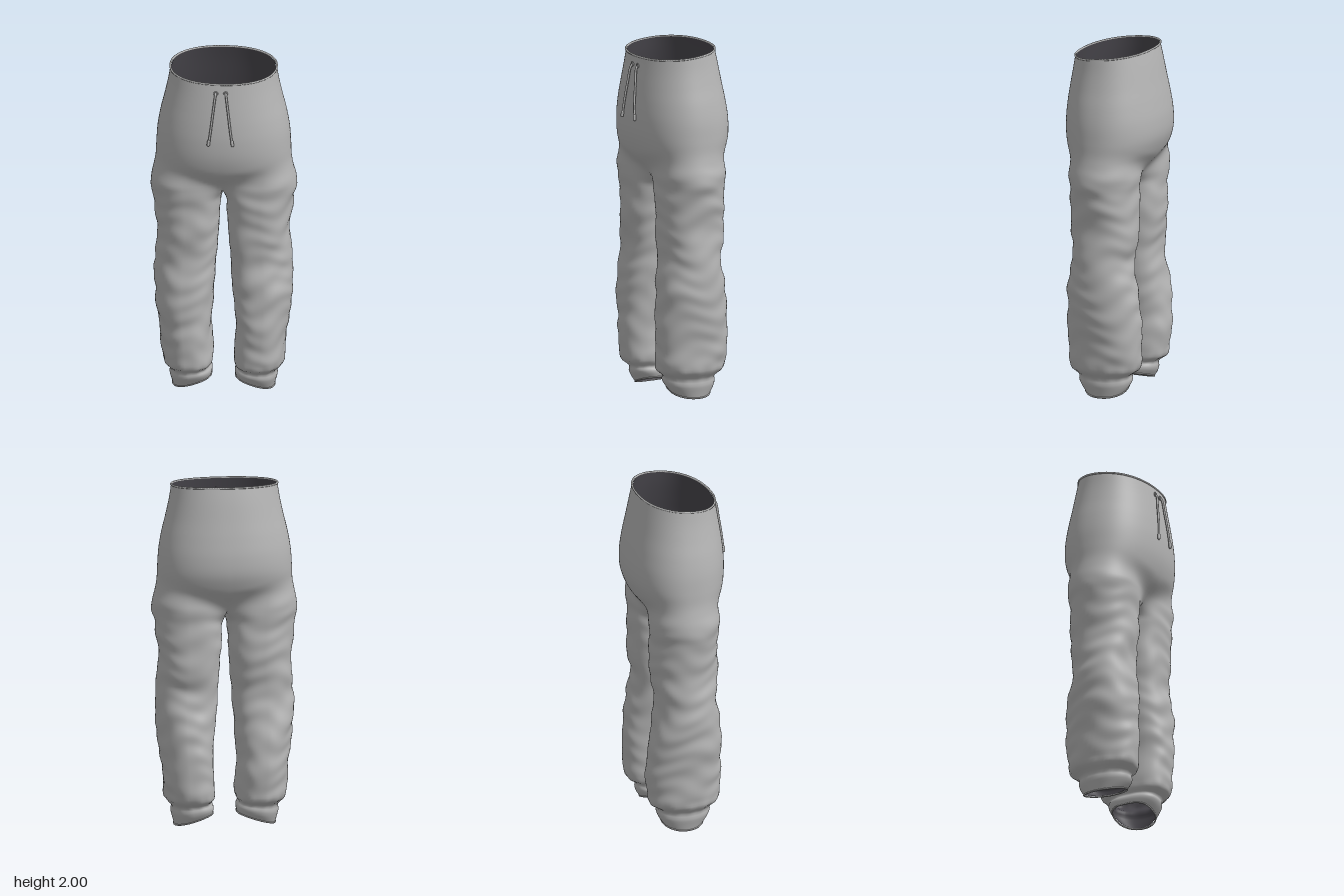
import * as THREE from 'three';
import { mergeVertices } from 'three/addons/utils/BufferGeometryUtils.js';

// Profile of one half: height, outer x, inner x, front z, back z
const PROFILE = [
  [1.98, 0.3, 0.01, 0.222, -0.212], [1.9, 0.312, 0.01, 0.235, -0.23], [1.8, 0.333, 0.01, 0.25, -0.25],
  [1.7, 0.357, 0.01, 0.262, -0.27], [1.6, 0.374, 0.01, 0.269, -0.284], [1.5, 0.381, 0.01, 0.265, -0.281],
  [1.42, 0.385, 0.01, 0.247, -0.255], [1.36, 0.396, 0.01, 0.222, -0.225], [1.3, 0.411, 0.01, 0.2, -0.205],
  [1.25, 0.411, 0.012, 0.193, -0.198], [1.2, 0.4, 0.015, 0.188, -0.19], [1.1, 0.391, 0.019, 0.183, -0.195],
  [1.0, 0.376, 0.026, 0.187, -0.197], [0.9, 0.381, 0.032, 0.178, -0.187], [0.8, 0.39, 0.039, 0.174, -0.17],
  [0.7, 0.391, 0.046, 0.192, -0.182], [0.6, 0.391, 0.054, 0.2, -0.2], [0.5, 0.38, 0.062, 0.205, -0.213],
  [0.4, 0.364, 0.07, 0.205, -0.222], [0.3, 0.355, 0.065, 0.203, -0.225], [0.2, 0.347, 0.06, 0.198, -0.213],
  [0.155, 0.338, 0.063, 0.185, -0.197], [0.135, 0.318, 0.075, 0.162, -0.17], [0.115, 0.303, 0.078, 0.148, -0.155],
  [0.08, 0.306, 0.068, 0.15, -0.158], [0.04, 0.296, 0.064, 0.136, -0.15], [0, 0.286, 0.07, 0.108, -0.126]];
const profile = new THREE.CubicInterpolant(PROFILE.map((r) => -r[0]), PROFILE.flatMap((r) => r.slice(1)), 4);

const CROTCH = 1.27, UPPER = 46, LOWER = 84, OUT = 48, IN = 14, END = Math.PI * 5 / 6;
const { lerp, smoothstep } = THREE.MathUtils;

// Point on a slightly squared ellipse
const bend = (v, n) => Math.sign(v) * Math.pow(Math.abs(v), 2 / n);
const oval = (a, cx, rx, cz, rz, n) => [cx + rx * bend(Math.cos(a), n), cz + rz * bend(Math.sin(a), n)];

// Soft cloth folds running diagonally round a leg
function fold(a, y, side) {
  const p = side > 0 ? 0 : 1.9;
  const amount = (1 - smoothstep(y, 1.15, 1.42)) * smoothstep(y, 0.13, 0.22);
  const gather = Math.exp(-(((y - 0.15) / 0.04) ** 2)) * 0.003 * Math.sin(13 * a + p);
  const wave = 0.003 * Math.sin(31 * y + 2 * a * side + 1.6 * Math.sin(2 * a + 5 * y + p))
    + 0.003 * Math.sin(17 * y - 3 * a + p + Math.sin(a + 9 * y))
    + 0.0022 * Math.sin(53 * y + a + 2 * Math.sin(3 * a - 7 * y + p));
  return amount * wave + gather;
}

// One cross-section: the outer arc from back to front, then the inner leg arc
function section(y, below, side) {
  const [xo, xi, zf, zb] = profile.evaluate(-y);
  const cz = (zf + zb) / 2, rz = (zf - zb) / 2;
  // The legs stay slimmer than the seat and belly that hang over them
  const lf = y > 1 ? Math.min(zf, 0.197) : zf, lb = y > 1 ? Math.max(zb, -0.203) : zb;
  const free = below ? 1 - smoothstep(y, 1.19, CROTCH) : 0;
  const leg = (a, folds) => {
    const facing = Math.cos(a) < 0;
    const p = oval(a, (xo + xi) / 2, (xo - xi) / 2, (lf + lb) / 2, (lf - lb) / 2, facing ? 2.6 : 2.05);
    const w = fold(a, y, side) * folds;
    return [p[0] + w * Math.cos(a) * (facing ? 0.5 : 1), p[1] + w * Math.sin(a)];
  };
  const ring = [];
  for (let j = 0; j <= OUT; j++) {
    const k = j / OUT * 2 - 1;
    // Folds fade out towards the centre seam so that both halves join
    const folds = lerp(Math.min(1, j / 8, (OUT - j) / 8), 1, free);
    const hip = oval(k * Math.PI / 2, 0, xo, cz, rz, 2.2), l = leg(k * END, folds);
    // The hip turns into the leg higher up at the sides than in the middle
    const split = 1 - smoothstep(y, lerp(1.29, 1.19, k * k), lerp(1.49, 1.39, k * k));
    ring.push([lerp(hip[0], l[0], split), lerp(hip[1], l[1], split)]);
  }
  // Both halves meet on the centre line above the crotch
  const e0 = ring[0][0], e1 = ring[OUT][0];
  for (let j = 0; j <= 8; j++) {
    const pull = (1 - free) * (1 - j / 8);
    ring[j][0] -= e0 * pull;
    ring[OUT - j][0] -= e1 * pull;
  }
  const lA = leg(END, 1), lB = leg(-END, 1);
  if (below) for (let j = 1; j <= IN; j++) {
    const k = j / IN, l = leg(END + k * (Math.PI * 2 - 2 * END), 1);
    ring.push([0, 1].map((c) => lerp(ring[OUT][c], ring[0][c], k) + free * (l[c] - lerp(lA[c], lB[c], k))));
  }
  return ring.map(([x, z], j) => {
    const sag = j > OUT ? 0.03 * Math.sin((j - OUT) / IN * Math.PI) * smoothstep(y, 0.9, CROTCH) : 0;
    const tilt = -0.1 * z * smoothstep(y, 1.6, 1.98);
    const inward = Math.max(0, xo - x) / (xo - xi);
    const hem = (0.064 * inward ** 1.5 + 0.012 * ((z - cz) / rz) ** 2) * (1 - smoothstep(y, 0, 0.17));
    return new THREE.Vector3(x * side, y + tilt + hem - sag, z);
  });
}

function buildCloth() {
  const pos = [], index = [], edges = { waist: [], hems: [] };
  for (const side of [1, -1]) {
    const strip = (rings) => {
      const start = pos.length / 3, n = rings[0].length;
      rings.forEach((r) => r.forEach((p) => pos.push(p.x, p.y, p.z)));
      for (let r = 0; r < rings.length - 1; r++) for (let j = 0; j < n - 1; j++) {
        const a = start + r * n + j, b = a + 1, c = a + n, d = c + 1;
        if (side > 0) index.push(a, b, c, b, d, c);
        else index.push(a, c, b, b, c, d);
      }
    };
    const hip = [], leg = [];
    for (let i = 0; i <= UPPER; i++) hip.push(section(lerp(1.975, CROTCH, i / UPPER), false, side));
    for (let i = 0; i <= LOWER; i++) leg.push(section(lerp(CROTCH, 0.006, i / LOWER), true, side));
    strip(hip);
    strip(leg);
    edges.waist.push(...(side > 0 ? hip[0].slice(0, -1) : hip[0].slice(1).reverse()));
    edges.hems.push(leg[LOWER].slice(0, -1));
  }
  const geo = new THREE.BufferGeometry();
  geo.setAttribute('position', new THREE.Float32BufferAttribute(pos, 3));
  geo.setIndex(index);
  const outer = mergeVertices(geo, 1e-5);
  outer.computeVertexNormals();
  return { outer, edges };
}

// Lining: the same cloth moved inwards and turned round
function buildLining(outer) {
  const g = outer.clone(), p = g.attributes.position, n = g.attributes.normal;
  for (let i = 0; i < p.count; i++) {
    p.setXYZ(i, p.getX(i) - n.getX(i) * 0.007, p.getY(i) - n.getY(i) * 0.007, p.getZ(i) - n.getZ(i) * 0.007);
  }
  g.setIndex(Array.from(g.index.array).reverse());
  g.computeVertexNormals();
  return g;
}

export function createModel() {
  const model = new THREE.Group();
  const cloth = new THREE.MeshStandardMaterial({ color: 0xb4b4b4 });
  cloth.name = 'grey cloth';
  const dark = new THREE.MeshStandardMaterial({ color: 0x48464c });
  dark.name = 'dark lining';
  const add = (name, geo, mat, parent = model) => {
    const m = new THREE.Mesh(geo, mat);
    m.name = name;
    parent.add(m);
    return m;
  };

  const { outer, edges } = buildCloth();
  add('trousers', outer, cloth);
  add('lining', buildLining(outer), dark);

  // Rolled edges at the waist and the ankles
  const edge = (pts, r) => new THREE.TubeGeometry(new THREE.CatmullRomCurve3(pts, true), 120, r, 6, true);
  add('waistEdge', edge(edges.waist, 0.006), cloth);
  add('leftHem', edge(edges.hems[0], 0.005), cloth);
  add('rightHem', edge(edges.hems[1], 0.005), cloth);

  // Drawstrings with eyelets and tips
  for (const side of [1, -1]) {
    const cord = new THREE.Group();
    cord.name = side > 0 ? 'leftDrawstring' : 'rightDrawstring';
    cord.position.x = -0.004;
    const v = (x, y, z) => new THREE.Vector3(x * side, y, z);
    const path = new THREE.CatmullRomCurve3([v(0.028, 1.905, 0.226), v(0.03, 1.895, 0.243),
      v(0.042, 1.8, 0.259), v(0.054, 1.7, 0.272), v(0.066, 1.61, 0.279)]);
    add('cord', new THREE.TubeGeometry(path, 32, 0.0065, 8), cloth, cord);
    const eyelet = add('eyelet', new THREE.TorusGeometry(0.01, 0.004, 6, 16), cloth, cord);
    eyelet.position.copy(v(0.028, 1.903, 0.236));
    const tip = add('tip', new THREE.CapsuleGeometry(0.009, 0.022, 4, 10), cloth, cord);
    tip.position.copy(v(0.067, 1.615, 0.279));
    tip.quaternion.setFromUnitVectors(new THREE.Vector3(0, -1, 0), path.getTangent(1));
    model.add(cord);
  }
  return model;
}
